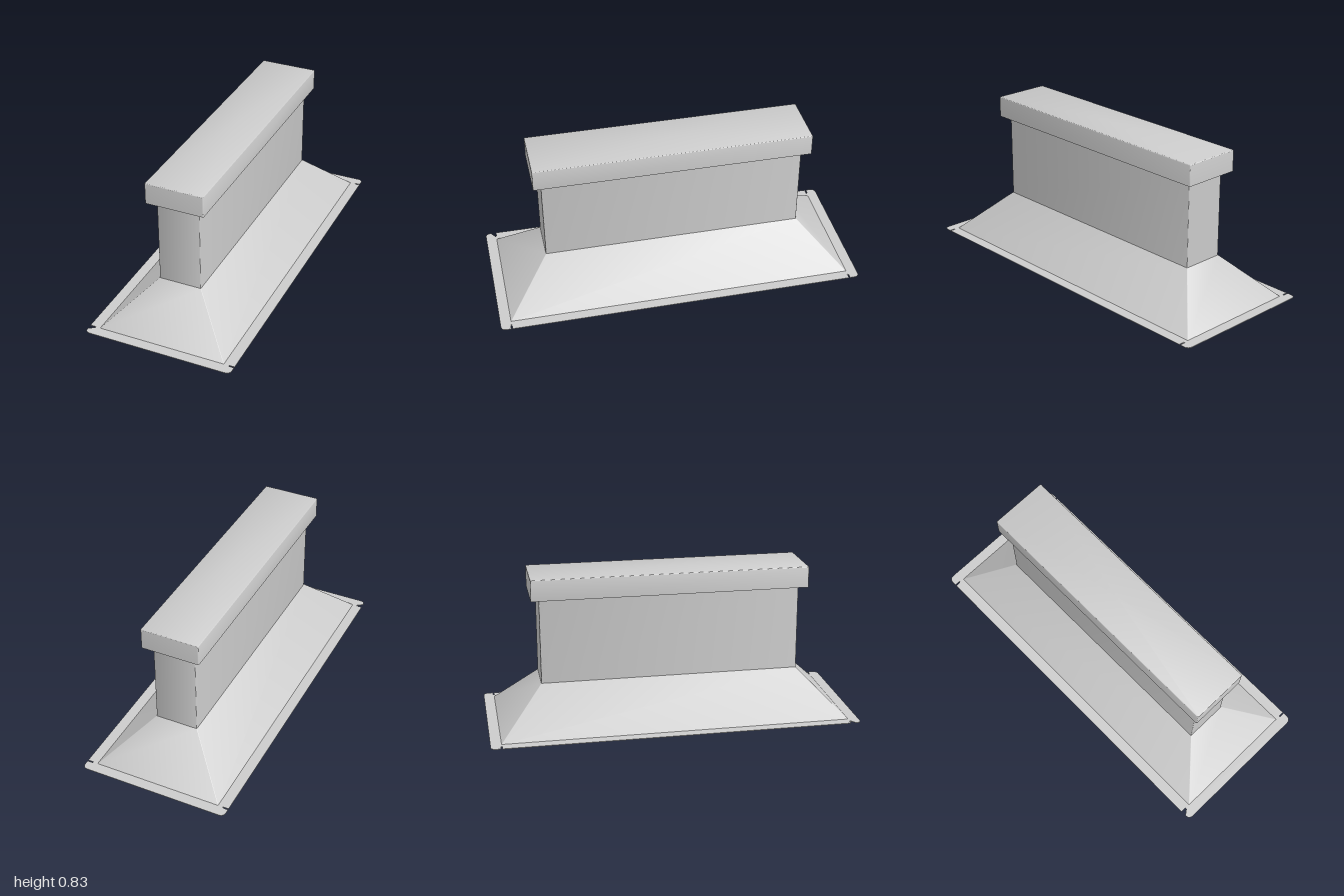
import * as THREE from 'three';
import { toCreasedNormals } from 'three/addons/utils/BufferGeometryUtils.js';

const CORNER_STEPS = 4;

// Rounded rectangle outline in the xz plane, half sizes hx and hz, corner radius r
function section([hx, hz, y, r]) {
  const points = [];
  [[1, 1], [-1, 1], [-1, -1], [1, -1]].forEach(([sx, sz], corner) => {
    for (let i = 0; i <= CORNER_STEPS; i++) {
      const a = (corner + i / CORNER_STEPS) * Math.PI / 2;
      points.push([sx * (hx - r) + r * Math.cos(a), y, sz * (hz - r) + r * Math.sin(a)]);
    }
  });
  return points;
}

// Closed solid through rounded rectangles, listed from bottom to top
function loft(name, sections, material) {
  const rings = sections.map(section);
  const n = rings[0].length;
  const first = sections[0], last = sections[sections.length - 1];
  const positions = rings.flat(2);
  positions.push(0, first[2], 0, 0, last[2], 0);
  const bottom = rings.length * n, top = bottom + 1, lastRing = (rings.length - 1) * n;
  const index = [];
  for (let i = 0; i < n; i++) {
    const j = (i + 1) % n;
    for (let k = 0; k < rings.length - 1; k++) {
      const a = k * n + i, b = k * n + j;
      index.push(a, a + n, b, b, a + n, b + n);
    }
    index.push(bottom, i, j, top, lastRing + j, lastRing + i);
  }
  const geometry = new THREE.BufferGeometry();
  geometry.setAttribute('position', new THREE.Float32BufferAttribute(positions, 3));
  geometry.setIndex(index);
  const mesh = new THREE.Mesh(toCreasedNormals(geometry, 0.6), material);
  mesh.name = name;
  return mesh;
}

// Thin sheet with rounded corners and a slit beside each corner
function flange(material) {
  const hx = 0.41, hz = 1, r = 0.03, slitIn = 0.378, slitA = 0.94, slitB = 0.947;
  const shape = new THREE.Shape();
  shape.moveTo(hx - r, -hz);
  shape.quadraticCurveTo(hx, -hz, hx, -hz + r);
  for (const z of [-slitB, -slitA]) shape.lineTo(z === -slitB ? hx : slitIn, z);
  const side = [[slitIn, -slitB], [slitIn, -slitA], [hx, -slitA], [hx, slitA], [slitIn, slitA], [slitIn, slitB], [hx, slitB]];
  shape.curves.pop();
  shape.currentPoint.set(hx, -slitB);
  side.forEach(([x, z]) => shape.lineTo(x, z));
  shape.lineTo(hx, hz - r);
  shape.quadraticCurveTo(hx, hz, hx - r, hz);
  shape.lineTo(-hx + r, hz);
  shape.quadraticCurveTo(-hx, hz, -hx, hz - r);
  [...side].reverse().forEach(([x, z]) => shape.lineTo(-x, z));
  shape.lineTo(-hx, -hz + r);
  shape.quadraticCurveTo(-hx, -hz, -hx + r, -hz);
  shape.closePath();
  const geometry = new THREE.ExtrudeGeometry(shape, { depth: 0.003, bevelEnabled: false, curveSegments: 6 });
  geometry.rotateX(-Math.PI / 2).translate(0, 0.003, 0);
  const mesh = new THREE.Mesh(geometry, material);
  mesh.name = 'baseFlange';
  return mesh;
}

export function createModel() {
  const grey = new THREE.MeshStandardMaterial({ color: 0xcccccc });
  const yellow = new THREE.MeshStandardMaterial({ color: 0xd8b400 });
  const model = new THREE.Group();
  model.name = 'skirtedCurb';

  // Base sheet, flange and sloping skirt
  model.add(loft('basePlate', [[0.38, 0.97, 0, 0.005], [0.38, 0.97, 0.003, 0.005]], grey));
  model.add(flange(grey));
  model.add(loft('slopedSkirt', [[0.353, 0.943, 0.005, 0.002], [0.117, 0.706, 0.242, 0.002]], grey));

  // Upright wall
  model.add(loft('uprightWall', [[0.117, 0.706, 0.23, 0.005], [0.117, 0.706, 0.72, 0.005]], grey));

  // Seal around the wall, level with the underside of the cap
  model.add(loft('capSeal', [[0.14, 0.729, 0.711, 0.005], [0.14, 0.729, 0.72, 0.005]], yellow));

  // Cap with softly rounded top edges
  const cap = [[0.16, 0.75, 0.712, 0.006]];
  for (let i = 0; i <= 4; i++) {
    const a = i / 4 * Math.PI / 2, r = 0.006;
    cap.push([0.16 - r + r * Math.cos(a), 0.75 - r + r * Math.cos(a), 0.822 + r * Math.sin(a), Math.max(r * Math.cos(a), 0.0005)]);
  }
  model.add(loft('cap', cap, grey));
  return model;
}
